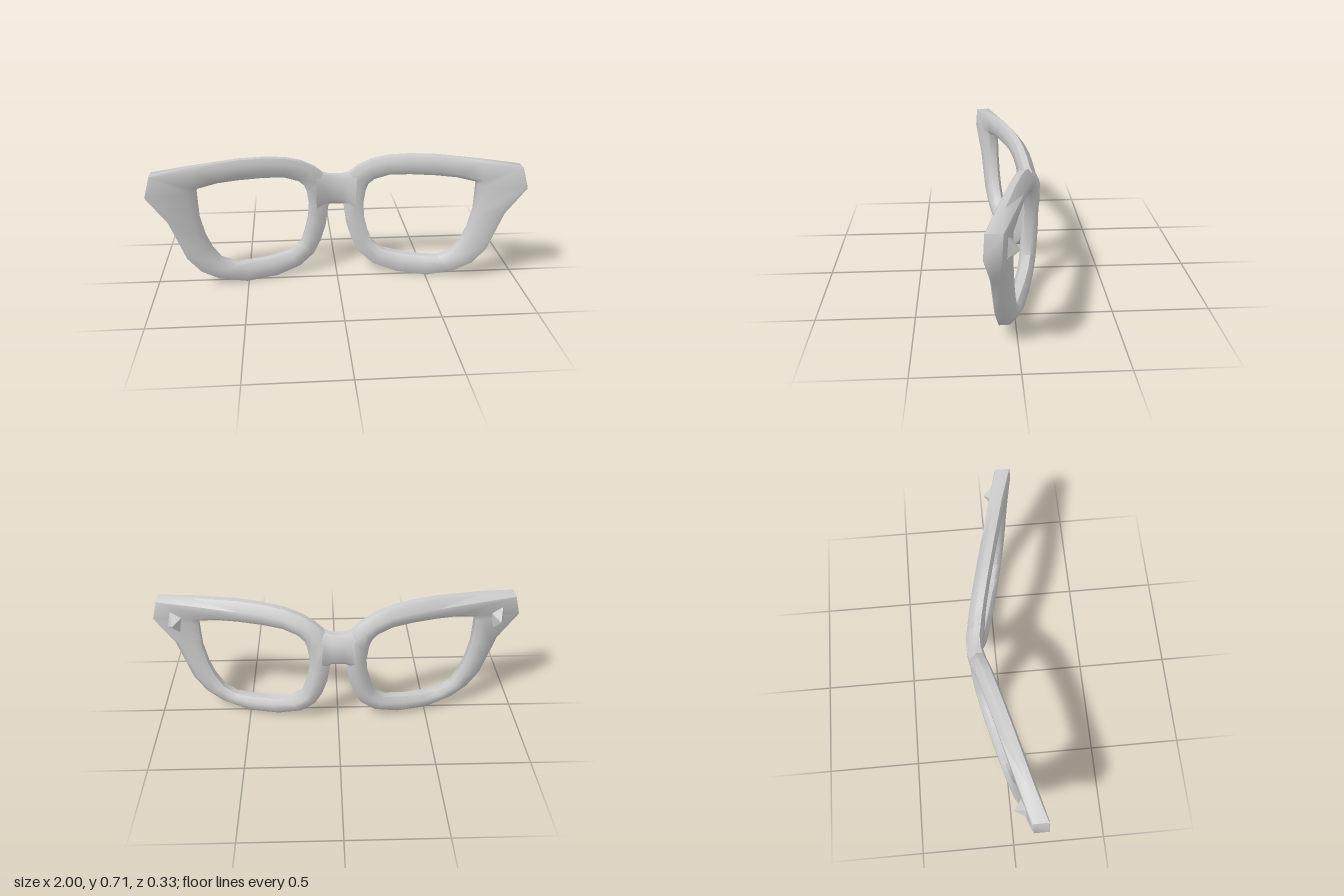
import * as THREE from 'three';
import { toCreasedNormals } from 'three/addons/utils/BufferGeometryUtils.js';
import { ConvexGeometry } from 'three/addons/geometries/ConvexGeometry.js';

const HALF = 0.043; // half the frame thickness

// The frame sweeps forward from the bridge to the temples
const midZ = (x) => -0.122 + 0.257 * Math.max(0, Math.abs(x) - 0.045);

// Rim stations: outer x, outer y, inner x, inner y, (1 = square-edged lug)
const RIM = [
  [0.04, 0.56, 0.163, 0.49], [0.12, 0.63, 0.178, 0.53], [0.19, 0.67, 0.21, 0.56],
  [0.28, 0.697, 0.29, 0.59], [0.39, 0.711, 0.40, 0.60], [0.53, 0.716, 0.53, 0.602],
  [0.77, 0.703, 0.64, 0.598], [0.97, 0.677, 0.74, 0.58, 1], [1.0, 0.565, 0.75, 0.562, 1],
  [0.90, 0.41, 0.745, 0.41], [0.86, 0.30, 0.72, 0.30], [0.82, 0.19, 0.69, 0.225],
  [0.75, 0.10, 0.645, 0.155], [0.66, 0.045, 0.57, 0.115], [0.51, 0.002, 0.49, 0.112],
  [0.34, 0.01, 0.38, 0.115], [0.21, 0.05, 0.26, 0.137], [0.13, 0.115, 0.20, 0.185],
  [0.09, 0.19, 0.178, 0.25], [0.06, 0.28, 0.158, 0.33], [0.043, 0.40, 0.152, 0.41],
];

// Bridge stations: top and bottom points
const BRIDGE = [-0.11, -0.035, 0.035, 0.11].map((x) =>
  Math.abs(x) > 0.1 ? [x, 0.60, x, 0.36] : [x, 0.577, x, 0.405]);

// Eight-sided section: distance from the outer edge (+) or inner edge (-), depth
const SECTION = [[0, 0.72], [0.03, 1], [-0.03, 1], [-1e-6, 0.5], [-1e-6, -0.5], [-0.03, -1], [0.045, -1], [0, -0.1]];
const LUG = [[0, 0.9], [0.012, 1], [-0.04, 1], [-1e-6, 0.5], [-1e-6, -0.5], [-0.04, -1], [0.012, -1], [0, -0.9]];

// Skins a row of sections, either as a ring or as an open bar
function loft(stations, closed, mirror = 1) {
  const pos = [], index = [], n = SECTION.length;
  for (const [ox, oy, ix, iy, lug] of stations) {
    const width = Math.hypot(ix - ox, iy - oy);
    for (const [d, depth] of lug ? LUG : SECTION) {
      const t = d < 0 ? 1 + d / width : d / width;
      const x = ox + (ix - ox) * t;
      pos.push(mirror * x, oy + (iy - oy) * t, midZ(x) + depth * HALF);
    }
  }
  const count = stations.length, spans = closed ? count : count - 1;
  for (let s = 0; s < spans; s++) {
    for (let k = 0; k < n; k++) {
      const a = s * n + k, b = s * n + (k + 1) % n;
      const next = ((s + 1) % count) * n;
      const c = next + (k + 1) % n, d = next + k;
      if (mirror > 0) index.push(a, b, c, a, c, d);
      else index.push(a, c, b, a, d, c);
    }
  }
  const geometry = new THREE.BufferGeometry();
  geometry.setAttribute('position', new THREE.Float32BufferAttribute(pos, 3));
  geometry.setIndex(index);
  return toCreasedNormals(geometry, 0.85);
}

// Small pointed hinge stud on the back of each lug
function studGeometry(side) {
  const base = [[0.90, 0.635], [0.83, 0.60], [0.85, 0.495], [0.925, 0.53]];
  const points = base.map(([x, y]) => new THREE.Vector3(side * x, y, midZ(x) - HALF + 0.008));
  points.push(new THREE.Vector3(side * 0.885, 0.56, 0));
  return new ConvexGeometry(points);
}

export function createModel() {
  const model = new THREE.Group();
  model.name = 'glassesFrame';
  const frameGrey = new THREE.MeshStandardMaterial({ color: 0xcccccc });
  frameGrey.name = 'frameGrey';

  const add = (geometry, name) => {
    const mesh = new THREE.Mesh(geometry, frameGrey);
    mesh.name = name;
    model.add(mesh);
  };

  add(loft(BRIDGE, false), 'bridge');
  for (const [side, label] of [[1, 'left'], [-1, 'right']]) {
    add(loft(RIM, true, side), label + 'Rim');
    add(studGeometry(side), label + 'HingeStud');
  }
  return model;
}
